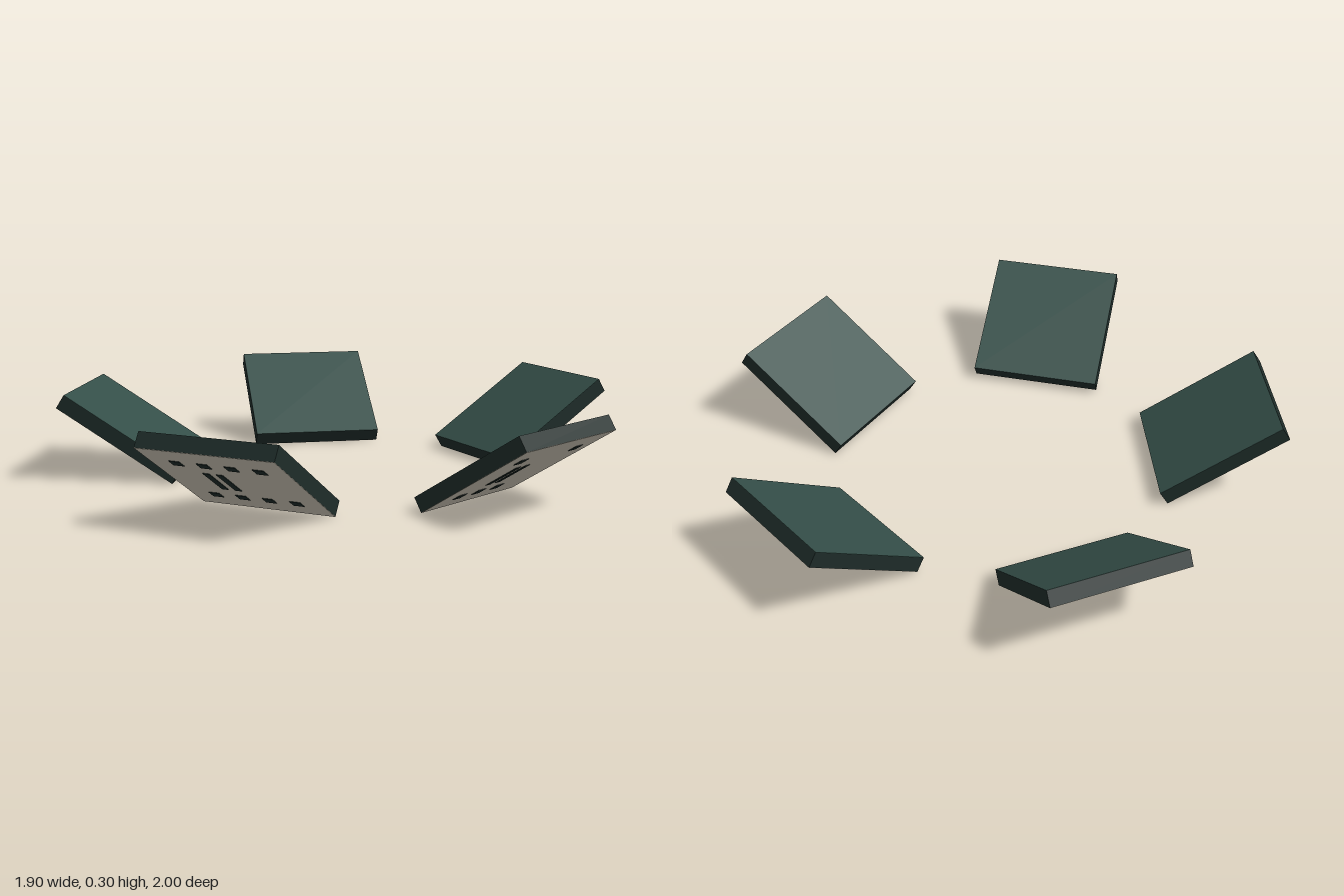
import * as THREE from 'three';

export function createModel() {
  const model = new THREE.Group();
  model.name = 'tileRing';
  const mat = (name, color) => {
    const m = new THREE.MeshStandardMaterial({ color });
    m.name = name;
    return m;
  };
  const dark = mat('dark edge', 0x1e2c29);
  const green = mat('slate green', 0x344e48);
  const beige = mat('warm grey', 0xcdc6b6);

  const SIZE = 0.48, THICK = 0.055, SKIN = 0.001;
  const TILT = THREE.MathUtils.degToRad(32.3);
  const RADIUS = 0.755, CENTRE_X = 0.022;

  const box = (parent, name, material, w, h, d, x, y, z) => {
    const mesh = new THREE.Mesh(new THREE.BoxGeometry(w, h, d), material);
    mesh.name = name;
    mesh.position.set(x, y, z);
    parent.add(mesh);
  };

  // Underside marks per tile: slots in the outer row, the inner row, and bars
  const slotX = [-0.145, -0.048, 0.048, 0.145];
  const barX = [-0.077, -0.029];
  const tiles = [
    { az: 36, outer: [0, 3], inner: [0, 1, 2], bars: [0, 1] },
    { az: 108, outer: [0, 1, 2, 3], inner: [0, 1, 2, 3], bars: [0, 1] },
    { az: 180, outer: [0, 1, 2, 3], inner: [0, 1, 2, 3], bars: [0, 1] },
    { az: 252, outer: [1, 2, 3], inner: [0, 1, 2, 3], bars: [0] },
    { az: 324, outer: [1, 2, 3], inner: [0, 1, 2, 3], bars: [0, 1] },
  ];

  for (const { az, outer, inner, bars } of tiles) {
    // Spoke turns the tile to its place on the ring; the tile itself leans outward
    const spoke = new THREE.Group();
    spoke.name = 'spoke';
    spoke.position.x = CENTRE_X;
    spoke.rotation.y = THREE.MathUtils.degToRad(90 - az);
    const tile = new THREE.Group();
    tile.name = 'tile';
    tile.position.set(0, 0.152, RADIUS);
    tile.rotation.x = -TILT;
    spoke.add(tile);
    model.add(spoke);

    // Dark slab with a green upper face and a grey lower face
    const skinY = (THICK - SKIN) / 2;
    box(tile, 'slab', dark, SIZE, THICK - 2 * SKIN, SIZE, 0, 0, 0);
    box(tile, 'upperFace', green, SIZE, SKIN, SIZE, 0, skinY, 0);
    box(tile, 'lowerFace', beige, SIZE, SKIN, SIZE, 0, -skinY, 0);

    // Square marks and bars on the lower face
    const markY = -THICK / 2 - 0.0005;
    for (const i of outer) box(tile, 'outerMark', dark, 0.038, 0.003, 0.036, slotX[i], markY, 0.135);
    for (const i of inner) box(tile, 'innerMark', dark, 0.038, 0.003, 0.036, slotX[i], markY, -0.145);
    for (const i of bars) box(tile, 'bar', dark, 0.024, 0.003, 0.14, barX[i], markY, -0.005);
  }
  return model;
}
